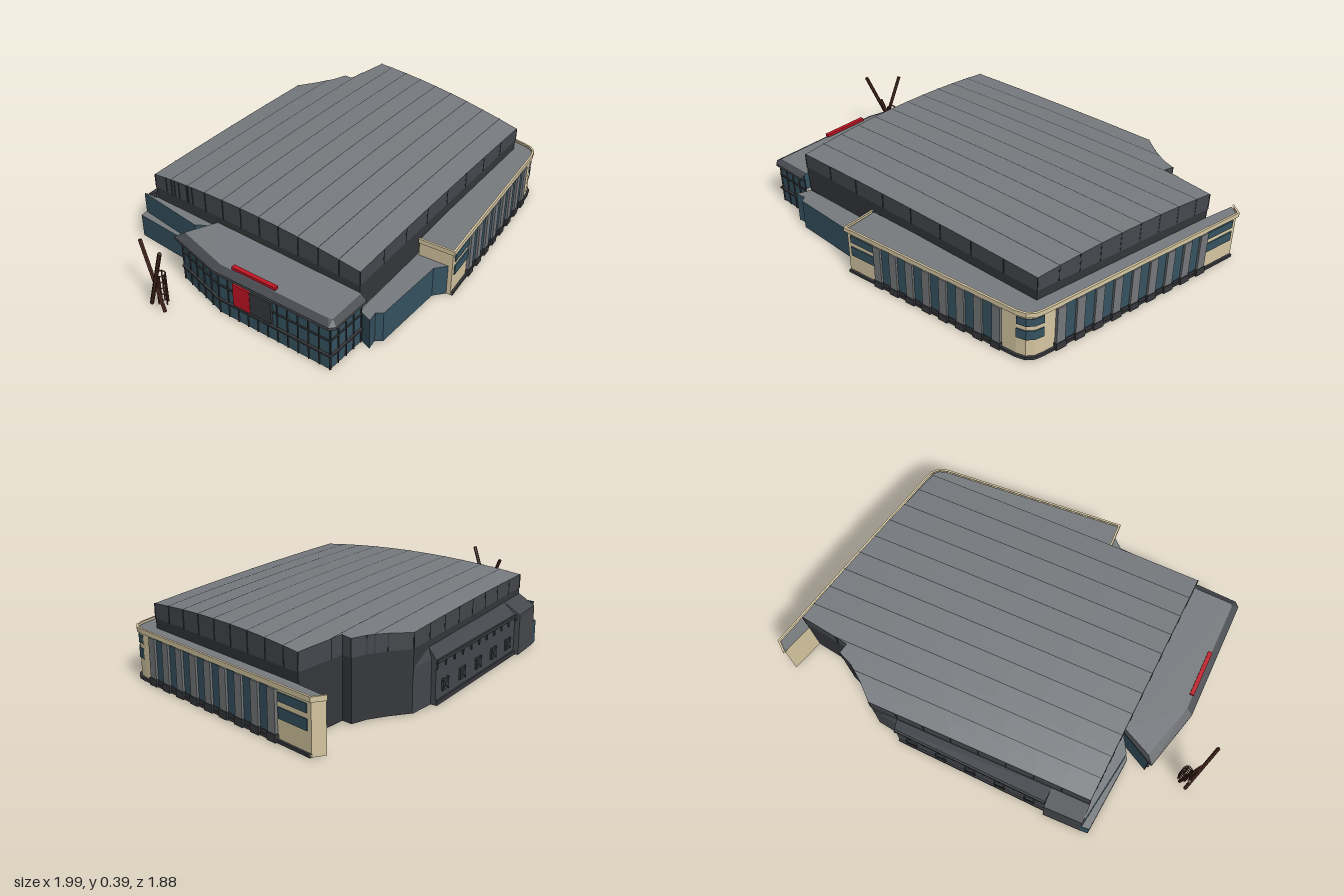
import * as THREE from 'three';

const mat = (color) => new THREE.MeshStandardMaterial({ color, side: THREE.DoubleSide, flatShading: true });
const ROOF = mat(0x777b7f), DARK = mat(0x45484d), DARKER = mat(0x36383c), TEAL = mat(0x365361),
  CREAM = mat(0xd6c7a2), GREY = mat(0x75777a), BROWN = mat(0x4a2a20), RED = mat(0xc01525);

function add(parent, name, geo, material) {
  const m = new THREE.Mesh(geo, material);
  m.name = name;
  parent.add(m);
  return m;
}

// Surface through rows of [x, y, z] points
function loft(parent, name, rows, material) {
  const pos = [];
  for (let r = 0; r + 1 < rows.length; r++) {
    for (let i = 0; i + 1 < rows[r].length; i++) {
      const a = rows[r][i], b = rows[r][i + 1], c = rows[r + 1][i + 1], d = rows[r + 1][i];
      pos.push(...a, ...b, ...c, ...a, ...c, ...d);
    }
  }
  const g = new THREE.BufferGeometry();
  g.setAttribute('position', new THREE.Float32BufferAttribute(pos, 3));
  g.computeVertexNormals();
  return add(parent, name, g, material);
}

// Plan points are [x, z]
const at = (pts, y) => pts.map(([x, z]) => [x, y, z]);
const wall = (p, name, pts, y0, y1, m) => loft(p, name, [at(pts, y0), at(pts, y1)], m);

function cap(parent, name, pts, y, material) {
  const g = new THREE.ShapeGeometry(new THREE.Shape(pts.map(([x, z]) => new THREE.Vector2(x, -z))));
  g.rotateX(-Math.PI / 2).translate(0, y, 0);
  return add(parent, name, g, material);
}

// Push an open plan path outward by d, mitred
function offset(pts, d) {
  const normal = (a, b) => new THREE.Vector2(a[1] - b[1], b[0] - a[0]).normalize();
  return pts.map((p, i) => {
    const n1 = normal(pts[Math.max(i - 1, 0)], pts[Math.max(i, 1)]);
    const last = pts.length - 1;
    const n2 = normal(pts[Math.min(i, last - 1)], pts[Math.min(i + 1, last)]);
    const n = n1.clone().add(n2).normalize();
    const k = d / Math.max(n.dot(n1), 0.5);
    return [p[0] + n.x * k, p[1] + n.y * k];
  });
}

// Projecting horizontal band along a plan path
function band(parent, name, pts, y0, y1, d, material) {
  const o = offset(pts, d);
  loft(parent, name, [at(pts, y0), at(o, y0), at(o, y1), at(pts, y1)], material);
}

// Group whose local x runs from p0 to p1 and local z faces outward
function side(parent, name, p0, p1) {
  const g = new THREE.Group();
  g.name = name;
  g.position.set(p0[0], 0, p0[1]);
  g.rotation.y = Math.atan2(p0[1] - p1[1], p1[0] - p0[0]);
  g.userData.length = Math.hypot(p1[0] - p0[0], p1[1] - p0[1]);
  parent.add(g);
  return g;
}

function box(parent, name, x0, x1, y0, y1, z0, z1, material) {
  const m = add(parent, name, new THREE.BoxGeometry(x1 - x0, y1 - y0, z1 - z0), material);
  m.position.set((x0 + x1) / 2, (y0 + y1) / 2, (z0 + z1) / 2);
  return m;
}

function rod(parent, name, a, b, r) {
  const A = new THREE.Vector3(...a), B = new THREE.Vector3(...b), d = B.clone().sub(A);
  const m = add(parent, name, new THREE.CylinderGeometry(r, r, d.length(), 6), BROWN);
  m.position.copy(A).add(B).multiplyScalar(0.5);
  m.quaternion.setFromUnitVectors(new THREE.Vector3(0, 1, 0), d.normalize());
}

// Main hall: u runs along the roof seams, v across them
const plan = (u, v) => [0.868 * u + 0.497 * v, -0.497 * u + 0.868 * v];
const height = (u, v) => 0.388 - 0.034 * (v / 0.585) ** 2 - 0.014 * (u / 0.9) ** 2;
const RIGHT = [[0.488, -0.593], [0.568, -0.521], [0.642, -0.468], [0.711, -0.44], [0.7, -0.391], [0.948, -0.357], [0.731, 0.566]];
const leftU = (v) => -0.62 - 0.052 * v;
function rightU(v) {
  for (let i = 0; i + 1 < RIGHT.length; i++) {
    const [u0, v0] = RIGHT[i], [u1, v1] = RIGHT[i + 1];
    if (v <= v1) return u0 + (u1 - u0) * (v - v0) / (v1 - v0);
  }
  return RIGHT[RIGHT.length - 1][0];
}

function buildHall(root) {
  const seams = Array.from({ length: 12 }, (_, i) => -0.593 + 1.159 * i / 11);
  const levels = [...new Set([...seams.slice(0, 11), ...RIGHT.map((p) => p[1])])].sort((a, b) => a - b);
  const row = (v, lift = 0) => Array.from({ length: 9 }, (_, i) => {
    const u = leftU(v) + (rightU(v) - leftU(v)) * i / 8, [x, z] = plan(u, v);
    return [x, height(u, v) + lift, z];
  });
  loft(root, 'hallRoof', levels.map((v) => row(v)), ROOF);
  for (const v of seams.slice(1, 11)) loft(root, 'roofSeam', [row(v - 0.002, 0.0015), row(v + 0.002, 0.0015)], DARKER);

  const edges = {
    hallBackWall: [row(levels[0]), 0],
    hallFrontWall: [row(levels[levels.length - 1]), 0.15],
    hallEndWall: [levels.map((v) => row(v)[0]), 0.1],
    hallCurvedWall: [levels.filter((v) => v <= -0.35).map((v) => row(v)[8]), 0],
    hallSideWall: [levels.filter((v) => v >= -0.36).map((v) => row(v)[8]), 0.2],
  };
  for (const [name, [top, base]] of Object.entries(edges)) {
    const mid = top.map(([x, y, z]) => [x, 0.28, z]);
    const low = top.map(([x, y, z]) => [x * 0.992, base, z * 0.992]);
    loft(root, name + 'Upper', [mid, top], DARK);
    loft(root, name + 'Lower', [low, mid], DARKER);
    for (const [x, y, z] of top) box(root, 'wallSeam', x - 0.002, x + 0.002, 0.28, y, z - 0.002, z + 0.002, DARKER);
  }
}

// Colonnaded wing with rounded corner
function colonnade(root, name, p0, p1, from, to, bays, piers) {
  const g = side(root, name, p0, p1), step = (to - from) / bays;
  box(g, 'glazing', from, to, 0.03, 0.215, 0, 0.004, TEAL);
  box(g, 'plinth', from, to, 0, 0.03, 0, 0.008, DARKER);
  for (let i = 0; i <= bays; i++) {
    const x = from + step * i, w = step * 0.22;
    box(g, 'column', x - w, x + w, 0.03, 0.218, 0, 0.014, GREY);
    box(g, 'columnBase', x - w * 1.2, x + w * 1.2, 0, 0.035, 0, 0.018, DARKER);
  }
  for (const [a, b] of piers) {
    for (const [y0, y1] of [[0.1, 0.147], [0.17, 0.207]]) box(g, 'pierWindow', a, b, y0, y1, 0, 0.005, TEAL);
  }
}

function buildColonnadeWing(root) {
  const corner = [[0.945, 0.225], [0.975, 0.195], [0.984, 0.16], [0.976, 0.12]];
  const outer = [[0.2, 0.73], ...corner, [0.662, -0.925]];
  const outline = [[0.115, 0.59], ...outer, [0.605, -0.935], [0.645, -0.77]];
  wall(root, 'wingWall', outline, 0, 0.23, CREAM);
  cap(root, 'wingRoof', [...outline, [0.9, 0.12]], 0.232, ROOF);
  band(root, 'cornice', outline.slice(0, -1), 0.22, 0.242, 0.01, CREAM);
  band(root, 'wingPlinth', outer, 0, 0.014, 0.01, DARKER);
  for (const [y0, y1] of [[0.1, 0.147], [0.17, 0.207]]) band(root, 'cornerWindow', corner, y0, y1, 0.004, TEAL);
  colonnade(root, 'frontColonnade', outer[0], corner[0], 0.18, 0.81, 7, [[0.02, 0.16]]);
  colonnade(root, 'sideColonnade', corner[3], outer[5], 0.08, 0.88, 8, [[0.91, 1.07]]);
}

// Low glazed blocks, entrance wing and end block
function buildLowBlocks(root) {
  const low = [[-0.28, 0.81], [-0.27, 0.88], [-0.23, 0.85], [-0.2, 0.865], [0.125, 0.7], [0.2, 0.715]];
  wall(root, 'lowFrontWall', low, 0, 0.15, TEAL);
  cap(root, 'lowFrontRoof', [...low, [0.115, 0.58]], 0.15, ROOF);

  const base = [[-0.63, 0.125], [-0.8, 0.13], [-0.735, 0.41], [-0.462, 0.92], [-0.285, 0.83]];
  wall(root, 'entranceWall', base, 0, 0.23, TEAL);
  band(root, 'entranceLedge', base.slice(1), 0.072, 0.08, 0.012, DARKER);
  band(root, 'entranceTransom', base.slice(1), 0.148, 0.154, 0.006, DARKER);
  const eave = [[-0.63, 0.11], [-0.83, 0.115], [-0.757, 0.41], [-0.475, 0.932], [-0.445, 0.94], [-0.27, 0.85]];
  const top = [[-0.63, 0.12], [-0.785, 0.13], [-0.72, 0.41], [-0.458, 0.9], [-0.445, 0.91], [-0.28, 0.82]];
  loft(root, 'entranceFascia', [at(base.slice(0, 1).concat(base.slice(1, 4), [base[3], base[4]]), 0.2), at(eave, 0.215), at(eave, 0.228), at(top, 0.246)], DARK);
  cap(root, 'entranceRoof', top, 0.246, ROOF);
  for (let s = 1; s < 4; s++) {
    const g = side(root, 'entranceSide', base[s], base[s + 1]), n = Math.round(g.userData.length / 0.055);
    for (let i = 0; i <= n; i++) {
      const x = g.userData.length * i / n;
      box(g, 'mullion', x - 0.002, x + 0.002, 0, 0.215, 0, 0.005, DARKER);
    }
    if (s === 2) { // entrance sign
      box(g, 'redPanel', 0.09, 0.18, 0.09, 0.2, 0, 0.014, RED);
      box(g, 'darkPanel', 0.18, 0.29, 0.09, 0.2, 0, 0.012, DARKER);
      box(g, 'redRoofBar', 0.07, 0.3, 0.253, 0.266, -0.03, -0.01, RED);
    }
  }

  const tall = [[-0.85, -0.285], [-0.72, 0.06], [-0.63, 0.11]];
  wall(root, 'endBlockWall', tall, 0, 0.22, TEAL);
  cap(root, 'endBlockRoof', [...tall, [-0.8, -0.22]], 0.22, ROOF);
  const porch = [[-0.85, -0.29], [-0.882, -0.268], [-0.73, 0.07], [-0.66, 0.1]];
  wall(root, 'endPorchWall', porch, 0, 0.115, TEAL);
  cap(root, 'endPorchRoof', porch, 0.115, ROOF);
}

// Back service wall with sloped top and recessed panel
function buildBackWall(root) {
  const outer = [[0.13, -0.755], [0.01, -0.705], [0, -0.725], [-0.675, -0.365], [-0.69, -0.385], [-0.85, -0.29], [-0.81, -0.22]];
  const inner = outer.map(([x, z]) => plan(0.868 * x - 0.497 * z, -0.592));
  loft(root, 'serviceWall', [at(outer, 0), at(outer, 0.2), at(inner, 0.25)], DARK);
  const g = side(root, 'servicePanel', outer[2], outer[3]), L = g.userData.length;
  box(g, 'panelHeader', 0, L, 0.185, 0.2, 0, 0.01, DARKER);
  box(g, 'panelSill', 0, L, 0, 0.02, 0, 0.008, DARKER);
  for (let i = 0; i <= 10; i++) box(g, 'panelRib', L * i / 10 - 0.003, L * i / 10 + 0.003, 0.16, 0.19, 0, 0.008, DARKER);
  for (let i = 0; i < 5; i++) {
    const x = L * (i + 0.5) / 5;
    box(g, 'serviceUnit', x - 0.025, x + 0.025, 0.05, 0.1, 0, 0.008, DARKER);
    for (const s of [-1, 1]) {
      box(g, 'serviceBrace', x - 0.035, x + 0.035, 0.072, 0.08, 0, 0.01, DARKER).rotation.z = s * 0.8;
    }
  }
}

// Leaning pole sculpture beside the entrance
function buildSculpture(root) {
  const g = new THREE.Group();
  g.name = 'sculpture';
  root.add(g);
  rod(g, 'leaningPole', [-0.95, 0, 0.31], [-0.99, 0.31, 0.185], 0.009);
  rod(g, 'leaningPole', [-0.985, 0, 0.23], [-0.955, 0.35, 0.37], 0.009);
  rod(g, 'leaningPole', [-0.945, 0, 0.23], [-0.965, 0.2, 0.3], 0.009);
  const cx = -0.938, cz = 0.25, r = 0.021;
  for (let i = 0; i < 6; i++) {
    const a = i * Math.PI / 3, x = cx + r * Math.cos(a), z = cz + r * Math.sin(a);
    rod(g, 'cagePost', [x, 0, z], [x, 0.16, z], 0.0035);
  }
  for (let y = 0.03; y < 0.17; y += 0.032) {
    const ring = add(g, 'cageRing', new THREE.TorusGeometry(r, 0.003, 5, 14), BROWN);
    ring.rotation.x = Math.PI / 2;
    ring.position.set(cx, y, cz);
  }
}

export function createModel() {
  const root = new THREE.Group();
  root.name = 'arena';
  buildHall(root);
  buildColonnadeWing(root);
  buildLowBlocks(root);
  buildBackWall(root);
  buildSculpture(root);
  return root;
}
